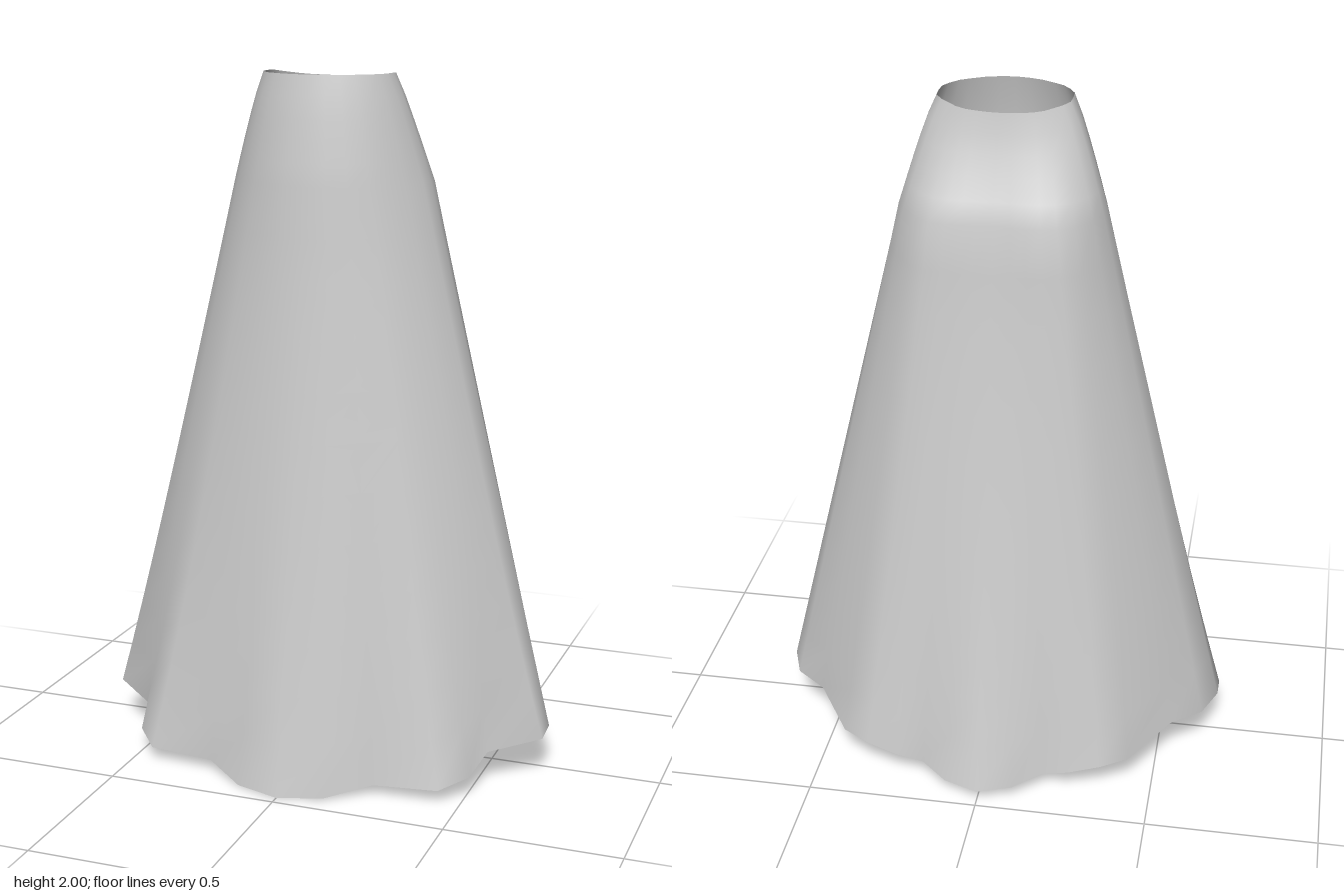
import * as THREE from 'three';

// Half outlines [x, z, y], running from centre front round the left side to centre back
const hem = [
  [0, 0.472, 0], [0.13, 0.44, 0.005], [0.25, 0.36, 0.03], [0.44, 0.355, 0.04],
  [0.51, 0.28, 0.06], [0.535, 0.18, 0.1], [0.67, 0.08, 0.12], [0.67, 0, 0.13],
  [0.63, -0.11, 0.135], [0.54, -0.17, 0.125], [0.43, -0.335, 0.1], [0.35, -0.375, 0.09],
  [0.26, -0.39, 0.07], [0.18, -0.385, 0.05], [0.1, -0.45, 0.04], [0, -0.475, 0.03],
];
// The hem with its pleats smoothed out, which the cloth follows higher up
const drape = [
  [0, 0.455], [0.13, 0.435], [0.26, 0.39], [0.415, 0.335], [0.5, 0.27], [0.575, 0.19],
  [0.65, 0.09], [0.67, 0], [0.63, -0.11], [0.548, -0.18], [0.44, -0.31], [0.35, -0.365],
  [0.26, -0.395], [0.18, -0.41], [0.1, -0.44], [0, -0.455],
].map(([x, z], i) => [x, z, hem[i][2]]);
const hip = [
  [0, 0.235], [0.06, 0.23], [0.115, 0.212], [0.17, 0.18], [0.212, 0.145], [0.25, 0.1],
  [0.282, 0.045], [0.29, 0], [0.285, -0.05], [0.262, -0.1], [0.22, -0.158], [0.175, -0.182],
  [0.13, -0.19], [0.09, -0.19], [0.05, -0.186], [0, -0.182],
].map(([x, z]) => [x, z, 1.7]);
const waist = [
  [0, 0.187], [0.04, 0.182], [0.08, 0.17], [0.115, 0.15], [0.145, 0.13], [0.168, 0.1],
  [0.183, 0.07], [0.185, 0.03], [0.183, -0.005], [0.165, -0.025], [0.145, -0.04], [0.12, -0.058],
  [0.09, -0.07], [0.06, -0.075], [0.03, -0.079], [0, -0.08],
].map(([x, z]) => [x, z, z < 0 ? 2 + z * 0.22 : 2]);

const { lerp } = THREE.MathUtils;

// Blend two half outlines; the powers bend the width and depth profiles
function blend(a, b, t, xPower, zPower) {
  return a.map(([x, z, y], i) => [
    lerp(x, b[i][0], Math.pow(t, xPower)),
    lerp(z, b[i][1], Math.pow(t, zPower(z))),
    lerp(y, b[i][2], t),
  ]);
}

// Mirror a half outline into a closed ring
function closeRing(half) {
  const mirrored = half.slice(1, -1).reverse().map(([x, z, y]) => [-x, z, y]);
  return [...half, ...mirrored];
}

function loft(rings) {
  const n = rings[0].length;
  const positions = rings.flat().flatMap(([x, z, y]) => [x, y, z]);
  const index = [];
  for (let r = 0; r < rings.length - 1; r++) {
    for (let c = 0; c < n; c++) {
      const a = r * n + c, b = r * n + (c + 1) % n;
      index.push(a, b, b + n, a, b + n, a + n);
    }
  }
  const geometry = new THREE.BufferGeometry();
  geometry.setAttribute('position', new THREE.Float32BufferAttribute(positions, 3));
  geometry.setIndex(index);
  geometry.computeVertexNormals();
  return geometry;
}

export function createModel() {
  const group = new THREE.Group();
  group.name = 'skirt';

  const rings = [];
  // Flared part from hem up to hip, its pleats fading with height
  const flareRows = 12, yokeRows = 5;
  for (let i = flareRows; i > 0; i--) {
    const t = i / flareRows;
    const outline = blend(drape, hem, t, 3, () => 3);
    rings.push(closeRing(blend(hip, outline, t, 1, () => 1.2)));
  }
  // Yoke from hip up to waist, pulled in over the seat at the back
  for (let i = yokeRows; i >= 0; i--) {
    rings.push(closeRing(blend(waist, hip, i / yokeRows, 0.85, (z) => (z < 0 ? 1.45 : 0.8))));
  }

  const cloth = new THREE.Mesh(
    loft(rings),
    new THREE.MeshStandardMaterial({ color: 0xcccccc, side: THREE.DoubleSide }),
  );
  cloth.name = 'skirtCloth';
  group.add(cloth);
  return group;
}
